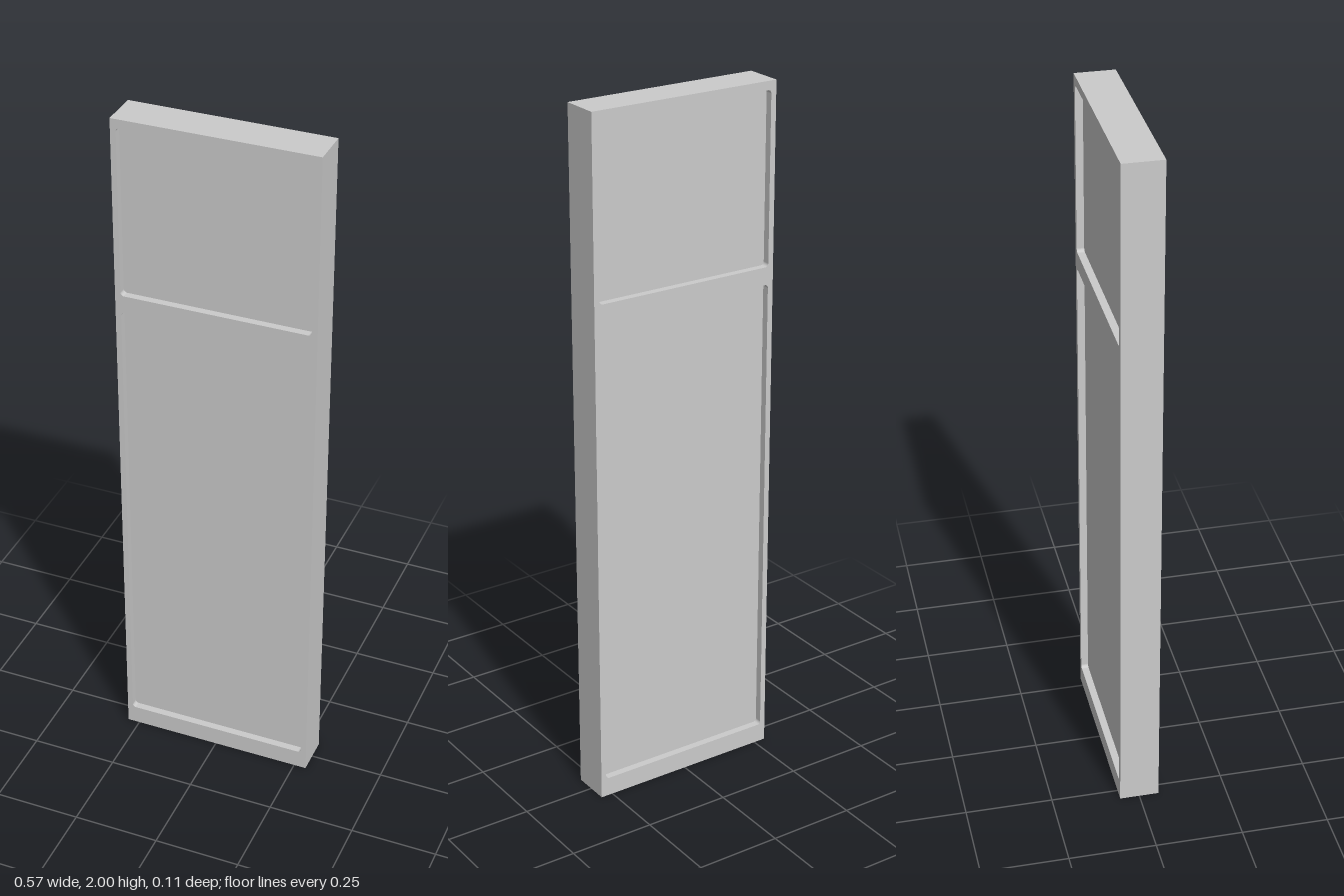
import * as THREE from 'three';

const WIDTH = 0.572, HEIGHT = 2, DEPTH = 0.113;
const RECESS = 0.021, CORNER = 0.01;
const OPENINGS = [
  { name: 'lowerPanel', x: 0.27, bottom: 0.056, top: 1.435 },
  { name: 'upperPanel', x: 0.27, bottom: 1.486, top: 1.975 },
];

// Rounded rectangle, symmetric about x = 0
function roundedRect(path, x, bottom, top, r) {
  path.moveTo(-x + r, bottom);
  path.lineTo(x - r, bottom);
  path.absarc(x - r, bottom + r, r, -Math.PI / 2, 0);
  path.lineTo(x, top - r);
  path.absarc(x - r, top - r, r, 0, Math.PI / 2);
  path.lineTo(-x + r, top);
  path.absarc(-x + r, top - r, r, Math.PI / 2, Math.PI);
  path.lineTo(-x, bottom + r);
  path.absarc(-x + r, bottom + r, r, Math.PI, Math.PI * 1.5);
  return path;
}

export function createModel() {
  const group = new THREE.Group();
  group.name = 'panelledDoor';
  const material = new THREE.MeshStandardMaterial({ color: 0xcccccc });

  // Extrusion centred on z = 0
  function addSlab(name, shape, depth) {
    const geometry = new THREE.ExtrudeGeometry(shape, { depth, bevelEnabled: false, curveSegments: 6 });
    geometry.translate(0, 0, -depth / 2);
    const mesh = new THREE.Mesh(geometry, material);
    mesh.name = name;
    group.add(mesh);
  }

  // Outer frame with two rounded openings
  const w = WIDTH / 2;
  const frame = new THREE.Shape([
    new THREE.Vector2(-w, 0), new THREE.Vector2(w, 0),
    new THREE.Vector2(w, HEIGHT), new THREE.Vector2(-w, HEIGHT),
  ]);
  for (const o of OPENINGS) {
    frame.holes.push(roundedRect(new THREE.Path(), o.x, o.bottom, o.top, CORNER));
  }
  addSlab('frame', frame, DEPTH);

  // Panels set back from both faces
  for (const o of OPENINGS) {
    const panel = roundedRect(new THREE.Shape(), o.x, o.bottom, o.top, CORNER);
    addSlab(o.name, panel, DEPTH - 2 * RECESS);
  }
  return group;
}
